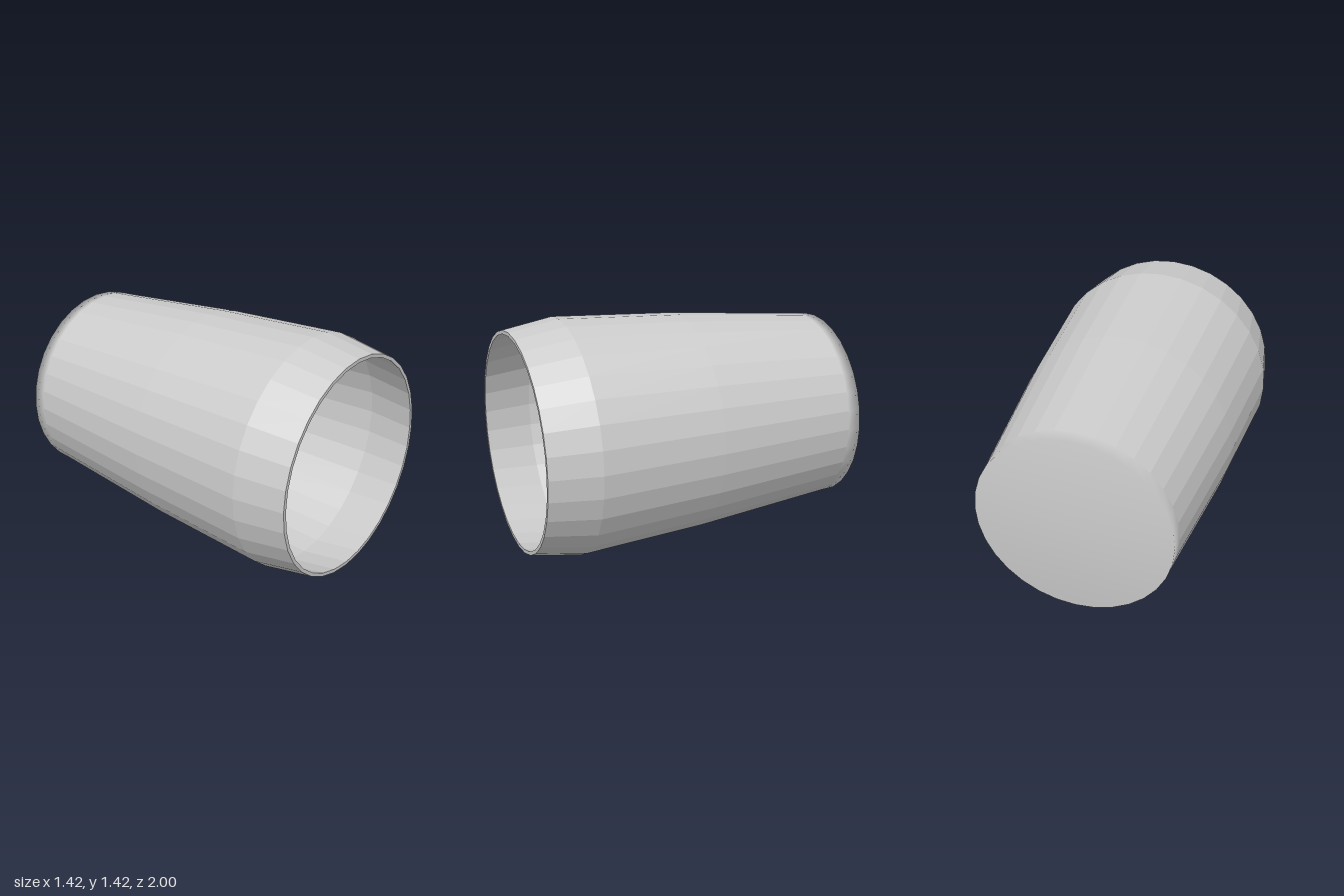
import * as THREE from 'three';

const SIDES = 32;
const WALL = 0.022;

// Outer profile as [radius, z], from the closed back to the open front
const PROFILE = [[0.585, -0.92], [0.667, -0.05], [0.711, 0.7], [0.66, 1]];

// Turns a profile of [radius, z] around the z axis
function turned(name, profile, flatShading) {
  const points = profile.map(([r, z]) => new THREE.Vector2(r, z));
  const geometry = new THREE.LatheGeometry(points, SIDES).rotateX(Math.PI / 2);
  const material = new THREE.MeshStandardMaterial({ color: 0xcccccc, flatShading });
  const mesh = new THREE.Mesh(geometry, material);
  mesh.name = name;
  return mesh;
}

export function createModel() {
  const cup = new THREE.Group();
  cup.name = 'cup';

  const inner = PROFILE.map(([r, z]) => [r - WALL, z]).reverse();
  const back = PROFILE[0];
  const front = PROFILE[PROFILE.length - 1];

  // Faceted walls: tapered body and flared front band, rim, and lining
  cup.add(turned('body', PROFILE.slice(0, 3), true));
  cup.add(turned('frontBand', PROFILE.slice(2), true));
  cup.add(turned('rim', [front, inner[0]], true));
  cup.add(turned('lining', inner, true));

  // Softly shaded closed end with a short lip, and the floor inside it
  cup.add(turned('endCap', [[0, -1], [0.58, -1], back], false));
  cup.add(turned('floor', [inner[3], [0.56, -0.98], [0, -0.98]], false));

  cup.position.y = PROFILE[2][0];
  const model = new THREE.Group();
  model.add(cup);
  return model;
}
